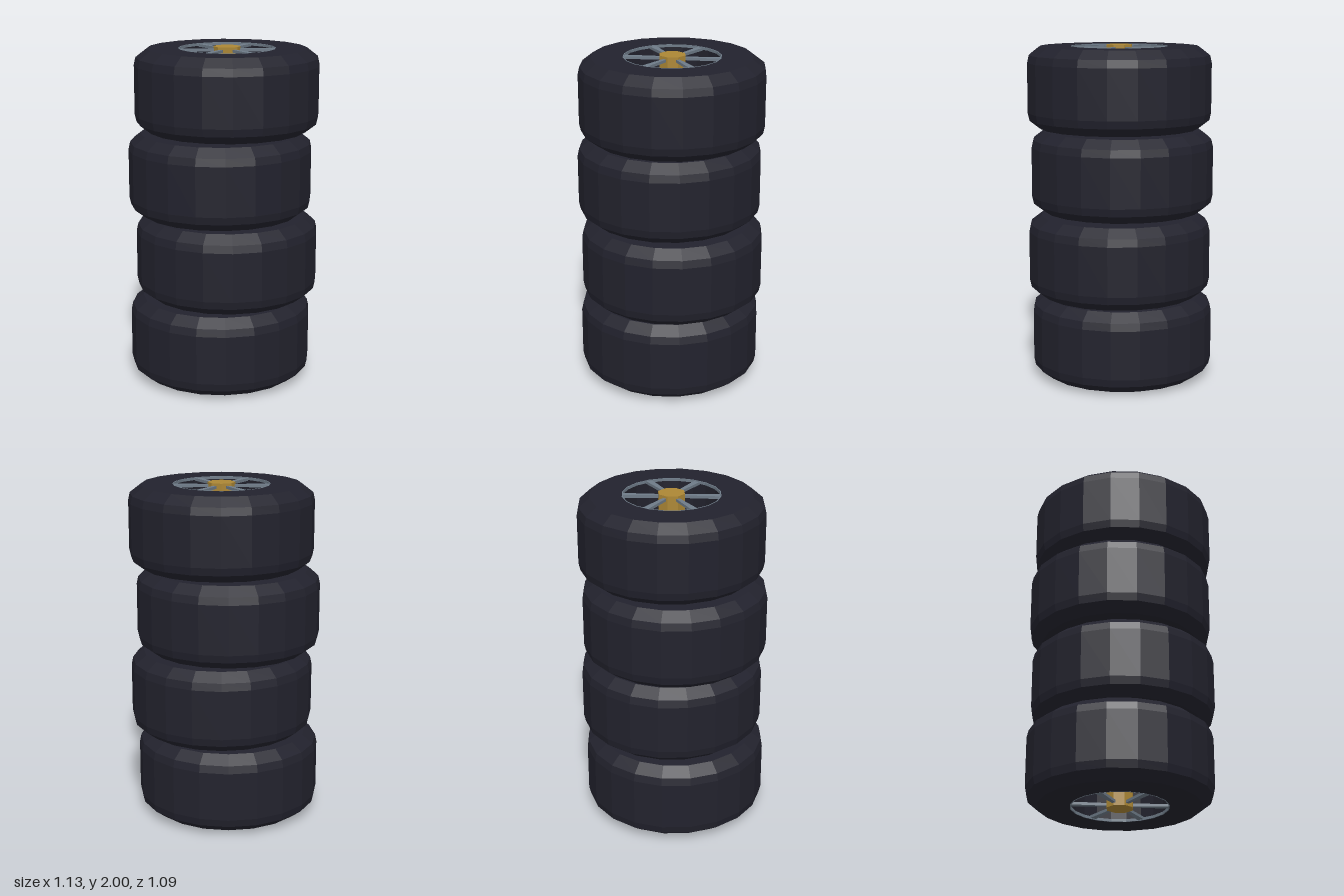
import * as THREE from 'three';

const rubber = new THREE.MeshStandardMaterial({ color: 0x22222d, flatShading: true });
rubber.name = 'rubber';
const steel = new THREE.MeshStandardMaterial({ color: 0x6e7b88, flatShading: true });
steel.name = 'steel';
const brass = new THREE.MeshStandardMaterial({ color: 0xac8735, flatShading: true });
brass.name = 'brass';

const SIDES = 20;

function lathe(points) {
  return new THREE.LatheGeometry(points.map(([r, y]) => new THREE.Vector2(r, y)), SIDES);
}

// Tyre: closed ring with chamfered shoulders
const tireGeometry = lathe([
  [0.285, -0.24], [0.47, -0.24], [0.535, -0.19], [0.545, -0.145],
  [0.545, 0.145], [0.535, 0.19], [0.47, 0.24], [0.285, 0.24], [0.285, -0.24],
]);

// Thin rim lip lining each opening
const lipGeometry = lathe([
  [0.28, -0.008], [0.286, -0.008], [0.286, 0.008], [0.28, 0.008], [0.28, -0.008],
]);

// Eight-sided hub
const hubGeometry = new THREE.CylinderGeometry(0.08, 0.08, 0.5, 8);

// Spoke: flat slat, wider towards the rim
const spokeShape = new THREE.Shape([
  new THREE.Vector2(0.06, -0.01), new THREE.Vector2(0.284, -0.02),
  new THREE.Vector2(0.284, 0.02), new THREE.Vector2(0.06, 0.01),
]);
const spokeGeometry = new THREE.ExtrudeGeometry(spokeShape, { depth: 0.016, bevelEnabled: false })
  .translate(0, 0, -0.008).rotateX(-Math.PI / 2);

function add(parent, name, geometry, material) {
  const mesh = new THREE.Mesh(geometry, material);
  mesh.name = name;
  parent.add(mesh);
  return mesh;
}

function createWheel() {
  const wheel = new THREE.Group();
  wheel.name = 'wheel';
  add(wheel, 'tire', tireGeometry, rubber);
  add(wheel, 'hub', hubGeometry, brass);
  for (const side of [-1, 1]) {
    add(wheel, 'rimLip', lipGeometry, steel).position.y = side * 0.233;
    for (let i = 0; i < 6; i++) {
      const spoke = add(wheel, 'spoke', spokeGeometry, steel);
      spoke.position.y = side * 0.228;
      spoke.rotation.y = i * Math.PI / 3;
    }
  }
  return wheel;
}

export function createModel() {
  const model = new THREE.Group();
  model.name = 'wheelStack';
  // Four wheels, shifted alternately to either side
  for (let i = 0; i < 4; i++) {
    const wheel = createWheel();
    wheel.position.set(i % 2 ? 0.02 : -0.02, 0.25 + i * 0.5, 0);
    model.add(wheel);
  }
  return model;
}
